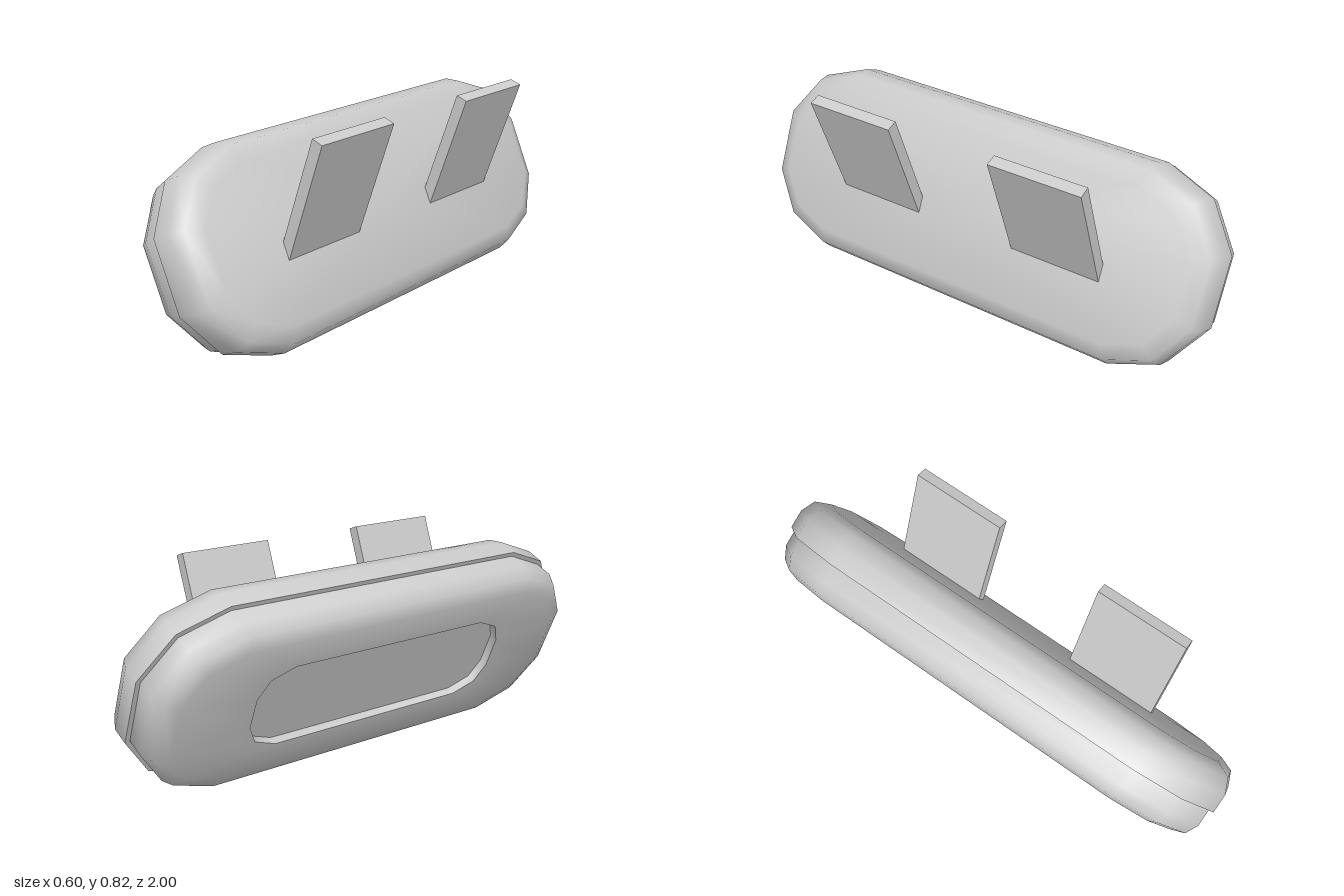
import * as THREE from 'three';
import { toCreasedNormals } from 'three/addons/utils/BufferGeometryUtils.js';

const material = new THREE.MeshStandardMaterial({ color: 0xcccccc, roughness: 0.8 });

// Closed outline of [y, z] points, mirrored from one corner
function outline(corner) {
  const back = [...corner].reverse();
  return [
    ...corner,
    ...back.map(([y, z]) => [-y, z]),
    ...corner.map(([y, z]) => [-y, -z]),
    ...back.map(([y, z]) => [y, -z]),
  ];
}

// Move every side of an outline inwards by d
function inset(points, d) {
  const n = points.length;
  const normal = (a, b) => new THREE.Vector2(b[1] - a[1], a[0] - b[0]).normalize();
  return points.map((p, i) => {
    const n1 = normal(points[(i + n - 1) % n], p);
    const n2 = normal(p, points[(i + 1) % n]);
    const k = d / (1 + n1.dot(n2));
    return [p[0] - (n1.x + n2.x) * k, p[1] - (n1.y + n2.y) * k];
  });
}

// Skin a list of [x, outline] rings and close both ends
function loft(rings) {
  const pos = [], index = [], n = rings[0][1].length;
  for (const [x, pts] of rings) for (const [y, z] of pts) pos.push(x, y, z);
  for (let r = 0; r < rings.length - 1; r++) {
    for (let i = 0; i < n; i++) {
      const j = (i + 1) % n, a = r * n, b = a + n;
      index.push(a + i, a + j, b + j, a + i, b + j, b + i);
    }
  }
  const last = (rings.length - 1) * n, c = rings.length * n;
  pos.push(rings[0][0], 0, 0, rings[rings.length - 1][0], 0, 0);
  for (let i = 0; i < n; i++) {
    const j = (i + 1) % n;
    index.push(c, j, i, c + 1, last + i, last + j);
  }
  const g = new THREE.BufferGeometry();
  g.setAttribute('position', new THREE.Float32BufferAttribute(pos, 3));
  g.setIndex(index);
  return toCreasedNormals(g, Math.PI / 3);
}

function addMesh(parent, name, geometry) {
  const mesh = new THREE.Mesh(geometry, material);
  mesh.name = name;
  parent.add(mesh);
  return mesh;
}

export function createModel() {
  const model = new THREE.Group();
  model.name = 'paddedRest';

  // Tilted pad: local x is its thickness, y its height, z its length
  const pad = new THREE.Group();
  pad.name = 'pad';
  pad.position.set(-0.045, 0.3725, 0);
  pad.rotation.z = 0.411;
  model.add(pad);

  const large = outline([[0.389, 0.68], [0.313, 0.88], [0.138, 1]]);
  const small = inset(large, 0.018);
  const slot = outline([[0.185, 0.45], [0.145, 0.55], [0.065, 0.59]]);

  // Larger shell on the bracket side
  addMesh(pad, 'mountShell', loft([
    [0, large], [0.077, large], [0.137, inset(large, 0.026)], [0.163, inset(large, 0.087)],
  ]));

  // Smaller shell with a shallow recess in its face
  addMesh(pad, 'recessedShell', loft([
    [-0.113, slot], [-0.148, slot],
    [-0.148, inset(small, 0.075)], [-0.126, inset(small, 0.024)], [-0.074, small], [0, small],
  ]));

  // Pair of flat mounting brackets, their lower ends set into the pad
  for (const side of [1, -1]) {
    const bracket = addMesh(model, side > 0 ? 'frontBracket' : 'rearBracket',
      new THREE.BoxGeometry(0.047, 0.5, 0.38));
    bracket.position.set(0.192, 0.58, side * 0.41);
    bracket.rotation.z = -0.35;
  }
  return model;
}
